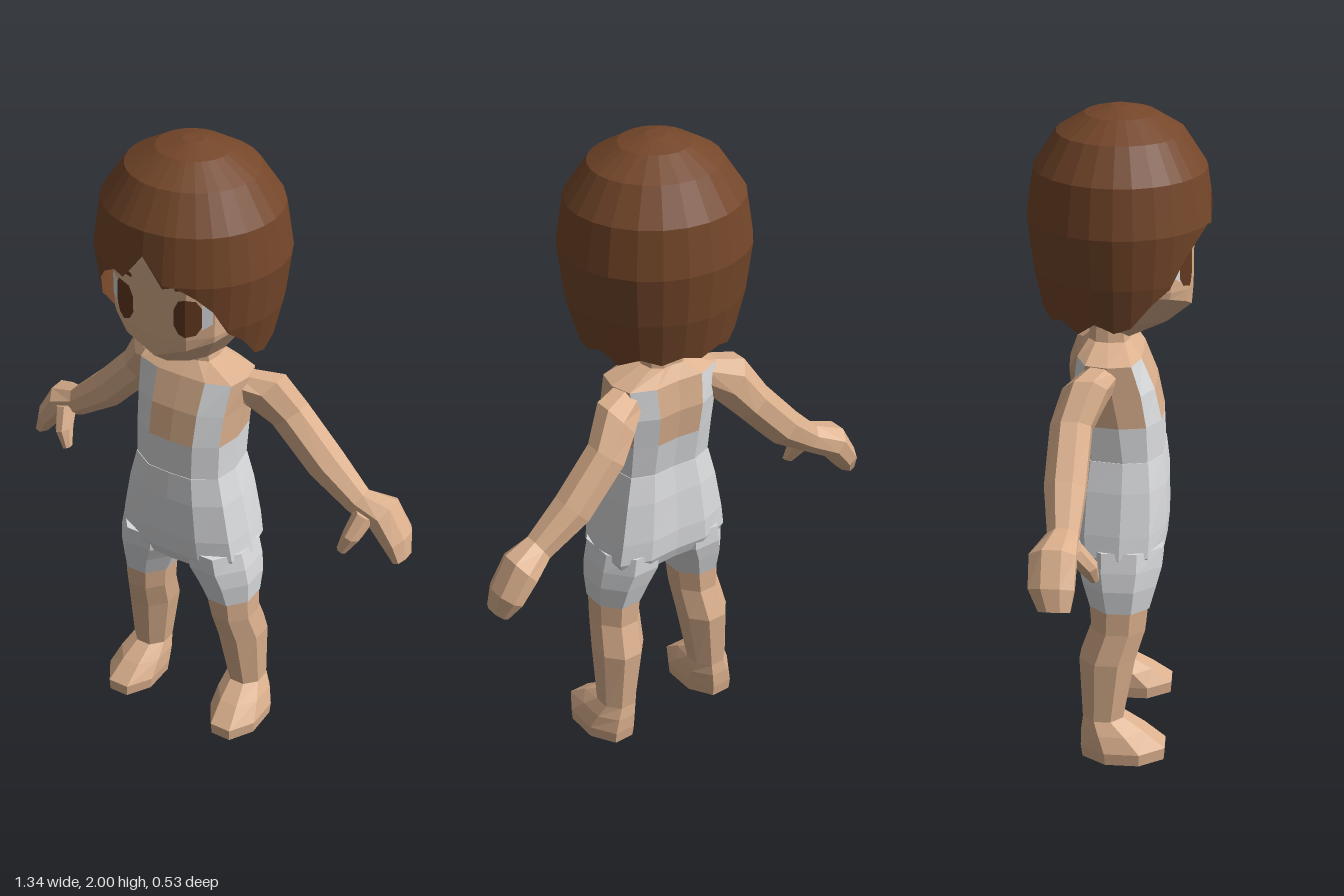
import * as THREE from 'three';

const mat = (name, color, side = THREE.FrontSide) => {
  const m = new THREE.MeshStandardMaterial({ color, side, flatShading: true });
  m.name = name;
  return m;
};
const skin = mat('skin', 0xdbb08d);
const hairBrown = mat('hair brown', 0x75472a, THREE.DoubleSide);
const cloth = mat('white cloth', 0xdadbdd);
const eyeBrown = mat('eye brown', 0x63391f);

// Skin closed rings, ordered bottom to top, and cap both ends.
// pick(row, column) chooses the material index of each quad.
function loft(name, rings, materials, pick = () => 0) {
  const lists = materials.map(() => []);
  const n = rings[0].length;
  const centre = r => [0, 1, 2].map(k => r.reduce((s, p) => s + p[k], 0) / n);
  const last = rings.length - 1;
  const c0 = centre(rings[0]), c1 = centre(rings[last]);
  for (let j = 0; j < n; j++) {
    const k = (j + 1) % n;
    for (let i = 0; i < last; i++) {
      const a = rings[i][j], b = rings[i][k], c = rings[i + 1][k], d = rings[i + 1][j];
      lists[pick(i, j)].push(...a, ...b, ...c, ...a, ...c, ...d);
    }
    lists[pick(0, j)].push(...c0, ...rings[0][k], ...rings[0][j]);
    lists[pick(last - 1, j)].push(...c1, ...rings[last][j], ...rings[last][k]);
  }
  const geo = new THREE.BufferGeometry();
  geo.setAttribute('position', new THREE.Float32BufferAttribute(lists.flat(), 3));
  let start = 0;
  lists.forEach((l, i) => {
    geo.addGroup(start, l.length / 3, i);
    start += l.length / 3;
  });
  geo.computeVertexNormals();
  const mesh = new THREE.Mesh(geo, materials);
  mesh.name = name;
  return mesh;
}

// Mirror rings to the other side, keeping their faces outward
const sided = (rings, s) => s > 0 ? rings
  : rings.map(r => r.map(([x, y, z]) => [-x, y, z]).reverse());

// Complete a half outline (front centre to back centre) with its mirror image
const mirrorRing = half => [...half, ...half.slice(1, -1).reverse().map(([x, y, z]) => [-x, y, z])];

const bodyRing = ([y, w, f, b]) => mirrorRing([
  [0, y, f], [0.47 * w, y, f * 0.97], [0.9 * w, y, f * 0.7 + b * 0.05], [w, y, (f + b) / 2],
  [0.9 * w, y, b * 0.75], [0.47 * w, y, b], [0, y, b * 0.95]]);

const legRing = ([y, xi, xo, f, b]) => Array.from({ length: 8 }, (_, i) => {
  const a = (i + 0.5) * Math.PI / 4, k = 0.5 / Math.cos(Math.PI / 8);
  return [(xi + xo) / 2 + Math.sin(a) * (xo - xi) * k, y, (f + b) / 2 + Math.cos(a) * (f - b) * k];
});

// Rings across a path in the x-y plane; rows are [x, y, z, half thickness, half depth]
const limbRings = rows => rows.map(([x, y, z, t, h], i) => {
  const p = rows[Math.max(i - 1, 0)], q = rows[Math.min(i + 1, rows.length - 1)];
  const l = Math.hypot(q[0] - p[0], q[1] - p[1]);
  const dx = (q[0] - p[0]) / l, dy = (q[1] - p[1]) / l;
  return Array.from({ length: 8 }, (_, j) => {
    const a = (j + 0.5) * Math.PI / 4, s = Math.sin(a) * t * 1.06;
    return [x + dy * s, y - dx * s, z + Math.cos(a) * h * 1.06];
  });
});

// Linear interpolation in a short table of [key, value]
function lerpTable(t, v) {
  let i = 0;
  while (i < t.length - 2 && v > t[i + 1][0]) i++;
  const [a, b] = [t[i], t[i + 1]];
  return a[1] + (b[1] - a[1]) * (v - a[0]) / (b[0] - a[0]);
}

// Head outline from the middle of the face to the back
const headHalf = [[0, 0.212], [0.1, 0.2], [0.165, 0.155], [0.2, 0.06], [0.19, -0.06], [0.12, -0.16], [0, -0.19]];

function head() {
  // height, scale, rise of the jaw line towards the cheeks
  const rows = [[1.325, 0.2, 0], [1.363, 0.65, 0.035], [1.42, 0.98, 0.075], [1.48, 1, 0.03],
    [1.7, 1, 0], [1.82, 0.95, 0], [1.92, 0.6, 0]];
  return loft('head', rows.map(([y, s, v]) =>
    mirrorRing(headHalf.map(([x, z]) => [x * s, y + v * x / 0.19, z * s]))), [skin]);
}

// Thin painted strip on the face; columns are [x, bottom, top]
function facePaint(name, cols, material, s) {
  const pos = [];
  const pt = (x, y) => [x * s, y, lerpTable(headHalf, x) + 0.005];
  for (let i = 0; i < cols.length - 1; i++) {
    const [x0, b0, t0] = cols[i], [x1, b1, t1] = cols[i + 1];
    const a = pt(x0, b0), b = pt(x1, b1), c = pt(x1, t1), d = pt(x0, t0);
    pos.push(...(s > 0 ? [a, b, c, a, c, d] : [a, c, b, a, d, c]).flat());
  }
  const geo = new THREE.BufferGeometry();
  geo.setAttribute('position', new THREE.Float32BufferAttribute(pos, 3));
  geo.computeVertexNormals();
  const mesh = new THREE.Mesh(geo, material);
  mesh.name = name;
  return mesh;
}

// Bobbed hair: a shell whose hem height changes around the head
function hair() {
  const hem = [[0, 1.76], [13, 1.68], [20, 1.69], [32, 1.655], [42, 1.61], [52, 1.53], [64, 1.49],
    [78, 1.42], [90, 1.405], [104, 1.43], [118, 1.39], [135, 1.42], [150, 1.4], [165, 1.42], [180, 1.4]];
  const radius = [[1.39, 0.228], [1.54, 0.262], [1.69, 0.28], [1.83, 0.258], [1.93, 0.19], [1.98, 0.105], [2, 0.03]];
  const levels = [0, 1.54, 1.69, 1.83, 1.93, 1.98, 2];
  const rings = levels.map(level => mirrorRing(hem.map(([deg, low]) => {
    const y = Math.max(level, low), r = lerpTable(radius, y), a = deg * Math.PI / 180;
    return [r * 1.01 * Math.sin(a), y, r * 0.96 * Math.cos(a)];
  })));
  // Leave the underside open
  const mesh = loft('hair', rings, [hairBrown]);
  const n = rings[0].length, per = (levels.length - 1) * 6 + 6;
  const src = mesh.geometry.attributes.position.array, kept = [];
  for (let j = 0; j < n; j++) {
    const o = j * per * 3, cap = o + (per - 6) * 3;
    kept.push(...src.slice(o, cap), ...src.slice(cap + 9, cap + 18));
  }
  mesh.geometry = new THREE.BufferGeometry();
  mesh.geometry.setAttribute('position', new THREE.Float32BufferAttribute(kept, 3));
  mesh.geometry.computeVertexNormals();
  mesh.material = hairBrown;
  return mesh;
}

export function createModel() {
  const g = new THREE.Group();
  g.name = 'child figure';
  g.add(head(), hair());

  // Torso with bib and straps: strap columns stay white above the bib
  const torso = [[0.97, 0.157, 0.138, -0.1], [1.08, 0.158, 0.132, -0.118], [1.18, 0.163, 0.11, -0.132],
    [1.275, 0.172, 0.07, -0.12], [1.315, 0.07, 0.03, -0.09], [1.39, 0.058, 0.02, -0.085]];
  g.add(loft('torso', torso.map(bodyRing), [skin, cloth], (row, j) => {
    const col = j < 6 ? j : 11 - j;
    return row === 0 || (row < 3 && (col === 1 || col === 4)) ? 1 : 0;
  }));

  // Hips of the shorts
  const hips = [[0.64, 0.2, 0.13, -0.105], [0.68, 0.218, 0.146, -0.122], [0.75, 0.207, 0.152, -0.124],
    [0.88, 0.182, 0.15, -0.115], [0.97, 0.159, 0.14, -0.102]];
  g.add(loft('shorts', hips.map(bodyRing), [cloth]));

  // Limb rows: [height, inner x, outer x, front z, back z]
  const shortsLeg = [[0.505, 0.07, 0.228, 0.102, -0.078], [0.58, 0.04, 0.232, 0.122, -0.1],
    [0.64, 0.01, 0.225, 0.138, -0.115], [0.7, 0.01, 0.212, 0.14, -0.115]];
  const leg = [[0, 0.118, 0.275, 0.153, -0.1], [0.04, 0.113, 0.278, 0.155, -0.105], [0.09, 0.115, 0.26, 0.09, -0.105],
    [0.13, 0.122, 0.238, 0.025, -0.1], [0.33, 0.09, 0.24, 0.06, -0.11], [0.43, 0.082, 0.226, 0.09, -0.075],
    [0.52, 0.073, 0.224, 0.098, -0.074]];
  // Path rows from fingertips to shoulder
  const arm = [[0.652, 0.745, -0.13, 0.022, 0.045], [0.627, 0.8, -0.14, 0.04, 0.065], [0.575, 0.872, -0.14, 0.052, 0.067],
    [0.5, 0.9, -0.12, 0.045, 0.045], [0.385, 0.99, -0.125, 0.06, 0.06], [0.26, 1.125, -0.12, 0.062, 0.06],
    [0.2, 1.205, -0.085, 0.075, 0.066], [0.12, 1.235, -0.04, 0.045, 0.055]];
  const thumb = [[0.497, 0.77, -0.035, 0.016, 0.015], [0.52, 0.825, -0.055, 0.028, 0.032], [0.54, 0.89, -0.1, 0.035, 0.035]];

  const eye = [[0.066, 1.54, 1.59], [0.08, 1.515, 1.62], [0.1, 1.508, 1.627], [0.125, 1.515, 1.622], [0.138, 1.54, 1.6]];
  const eyeWhite = [[0.138, 1.53, 1.61], [0.163, 1.55, 1.62]];
  const brow = [[0.07, 1.65, 1.66], [0.1, 1.655, 1.675], [0.145, 1.645, 1.665]];

  for (const [side, s] of [['left', 1], ['right', -1]]) {
    g.add(
      loft(side + ' shorts leg', sided(shortsLeg.map(legRing), s), [cloth]),
      loft(side + ' leg and foot', sided(leg.map(legRing), s), [skin]),
      loft(side + ' arm and hand', sided(limbRings(arm), s), [skin]),
      loft(side + ' thumb', sided(limbRings(thumb), s), [skin]),
      facePaint(side + ' eye', eye, eyeBrown, s),
      facePaint(side + ' eye white', eyeWhite, cloth, s),
      facePaint(side + ' brow', brow, eyeBrown, s));
  }
  return g;
}
